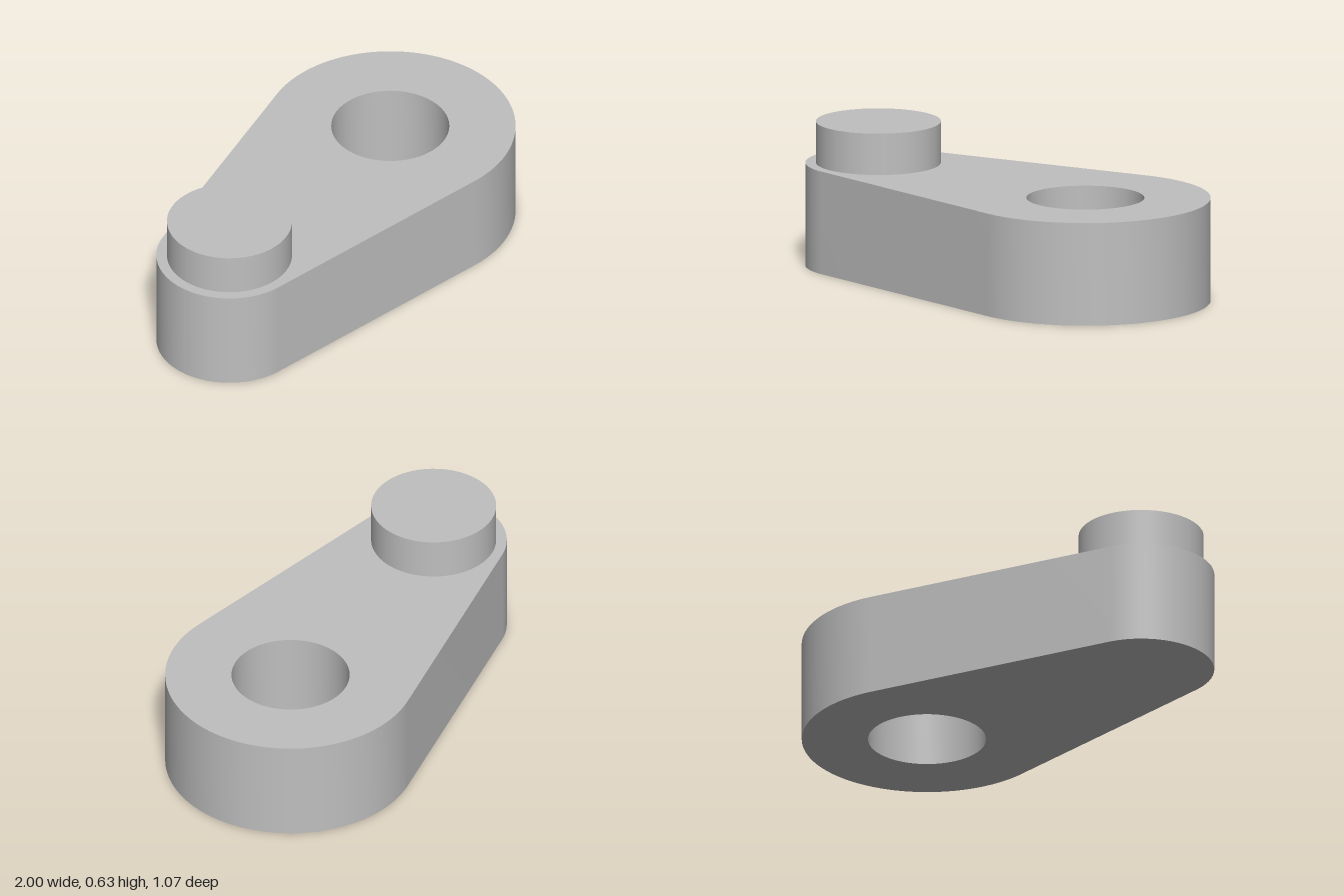
import * as THREE from 'three';
import { toCreasedNormals } from 'three/addons/utils/BufferGeometryUtils.js';

const ARM_HEIGHT = 0.447, TOP = 0.627;
const BIG = { x: 0.465, r: 0.535 }, SMALL = { x: -0.688, r: 0.312 };
const HOLE_RADIUS = 0.252, PIN_RADIUS = 0.267;

export function createModel() {
  const group = new THREE.Group();
  group.name = 'crankArm';

  const grey = new THREE.MeshStandardMaterial({ color: 0xbfbfbf });
  grey.name = 'plain grey';

  // Arm: two round ends joined by their outer tangents, with a through bore
  const t = Math.acos(-(BIG.r - SMALL.r) / (BIG.x - SMALL.x));
  const outline = new THREE.Shape();
  outline.absarc(BIG.x, 0, BIG.r, -t, t, false);
  outline.absarc(SMALL.x, 0, SMALL.r, t, 2 * Math.PI - t, false);
  outline.closePath();
  const bore = new THREE.Path();
  bore.absarc(BIG.x, 0, HOLE_RADIUS, 0, 2 * Math.PI, true);
  outline.holes.push(bore);

  const armGeometry = new THREE.ExtrudeGeometry(outline, {
    depth: ARM_HEIGHT, bevelEnabled: false, curveSegments: 48,
  });
  armGeometry.rotateX(-Math.PI / 2);
  const arm = new THREE.Mesh(toCreasedNormals(armGeometry, Math.PI / 6), grey);
  arm.name = 'arm';
  group.add(arm);

  // Pin standing on the narrow end
  const pinHeight = TOP - ARM_HEIGHT;
  const pin = new THREE.Mesh(
    new THREE.CylinderGeometry(PIN_RADIUS, PIN_RADIUS, pinHeight, 64), grey);
  pin.position.set(SMALL.x, ARM_HEIGHT + pinHeight / 2, 0);
  pin.name = 'pin';
  group.add(pin);

  return group;
}
